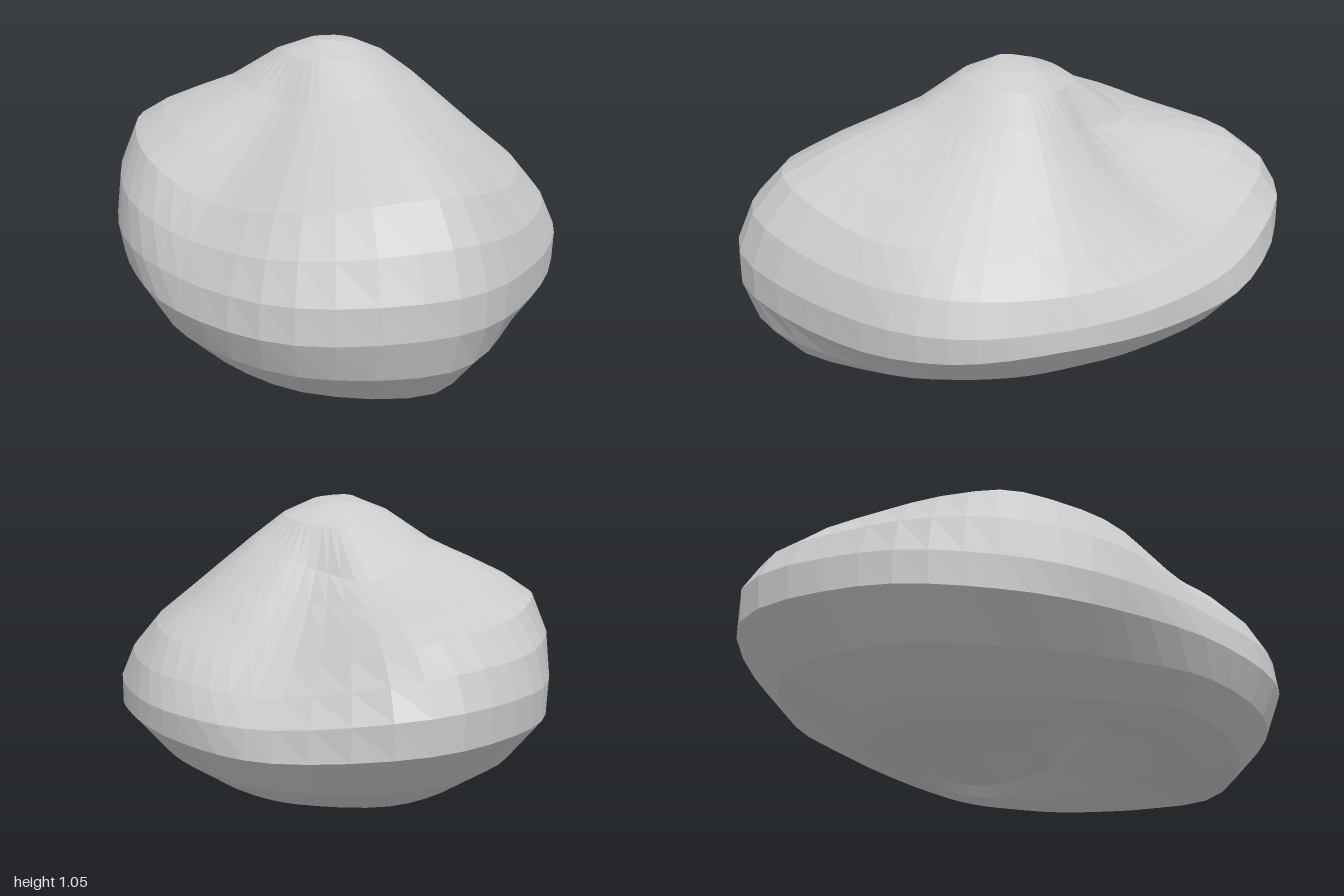
import * as THREE from 'three';

// Flank profiles of the boulder, one every 30 degrees from +x towards +z.
// Each runs from the upper slope to the lower edge as [radius, height] pairs.
const FLANKS = [
  [[.30, .91], [.48, .74], [.65, .59], [.74, .42], [.74, .30], [.45, .06]],
  [[.32, .90], [.50, .75], [.68, .60], [.80, .42], [.79, .27], [.50, .06]],
  [[.35, .89], [.55, .76], [.74, .61], [.84, .42], [.83, .24], [.64, .06]],
  [[.38, .91], [.61, .82], [.86, .69], [.995, .47], [.995, .28], [.87, .06]], // front lobe
  [[.36, .89], [.57, .78], [.80, .64], [.95, .45], [.97, .27], [.84, .08]],
  [[.32, .87], [.50, .74], [.69, .60], [.82, .43], [.85, .27], [.72, .11]], // side dent
  [[.34, .90], [.52, .80], [.71, .67], [.79, .45], [.76, .29], [.55, .11]],
  [[.38, .90], [.58, .82], [.73, .72], [.78, .50], [.76, .32], [.50, .11]], // side shoulder
  [[.40, .86], [.60, .78], [.78, .69], [.88, .52], [.87, .34], [.58, .11]],
  [[.42, .81], [.66, .74], [.86, .67], [1.0, .53], [.99, .35], [.64, .11]], // back ridge
  [[.28, .83], [.44, .69], [.63, .56], [.83, .45], [.86, .30], [.60, .11]], // back valley
  [[.28, .87], [.45, .70], [.61, .57], [.75, .43], [.75, .29], [.48, .08]],
];
const AXIS_X = 0.03;
const SEGMENTS = 48;
const RINGS = 17;

// full set of levels at one angle: cap, flank, then the hollowed underside
function levelsAt(flank, a) {
  const [edgeR, edgeY] = flank[flank.length - 1];
  return [
    [.13, 1.04 + .01 * (Math.sin(a) - Math.cos(a))],
    ...flank,
    [edgeR * .76, edgeY - .045],
    [.31, .06 + .09 * Math.max(0, Math.cos(a - 1.83))],
    [.13, .045],
  ];
}

function boulderGeometry() {
  const step = 2 * Math.PI / FLANKS.length;
  const stations = FLANKS.map((flank, k) => levelsAt(flank, k * step).map(([r, y]) =>
    new THREE.Vector3(AXIS_X + r * Math.cos(k * step), y, r * Math.sin(k * step))));

  // closed contour through the same level of every station
  const contours = stations[0].map((_, level) => new THREE.CatmullRomCurve3(
    stations.map((station) => station[level]), true, 'catmullrom', 0.5));

  const top = new THREE.Vector3(AXIS_X, 1.06, 0.02);
  const bottom = new THREE.Vector3(AXIS_X, 0.085, 0);
  const positions = [];
  const indices = [];

  // meridians from the peak to the dimple underneath
  for (let i = 0; i < SEGMENTS; i++) {
    const meridian = new THREE.CatmullRomCurve3(
      [top, ...contours.map((c) => c.getPoint(i / SEGMENTS)), bottom]);
    for (const p of meridian.getPoints(RINGS)) positions.push(p.x, p.y, p.z);
  }

  // skin between neighbouring meridians
  const at = (i, j) => (i % SEGMENTS) * (RINGS + 1) + j;
  for (let i = 0; i < SEGMENTS; i++) {
    for (let j = 0; j < RINGS; j++) {
      const a = at(i, j), b = at(i, j + 1), c = at(i + 1, j + 1), d = at(i + 1, j);
      if (j > 0) indices.push(a, d, b);
      if (j < RINGS - 1) indices.push(d, c, b);
    }
  }

  const geometry = new THREE.BufferGeometry();
  geometry.setAttribute('position', new THREE.Float32BufferAttribute(positions, 3));
  geometry.setIndex(indices);
  geometry.computeVertexNormals();

  // rest on the ground
  geometry.computeBoundingBox();
  return geometry.translate(0, -geometry.boundingBox.min.y, 0);
}

export function createModel() {
  const group = new THREE.Group();
  group.name = 'rock';
  const boulder = new THREE.Mesh(
    boulderGeometry(),
    new THREE.MeshStandardMaterial({ color: 0xcccccc, flatShading: true }));
  boulder.name = 'boulder';
  group.add(boulder);
  return group;
}
